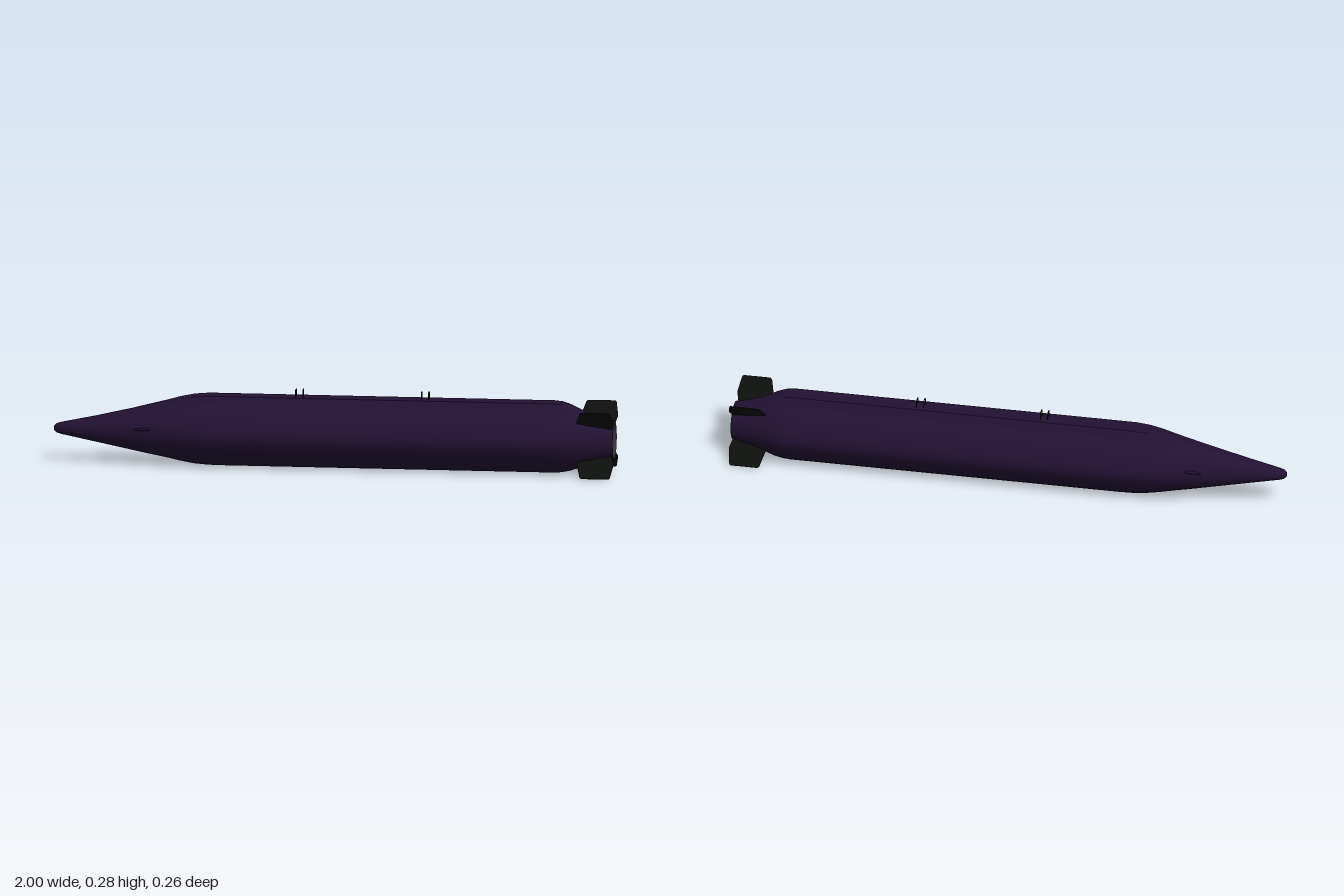
import * as THREE from 'three';
import { toCreasedNormals } from 'three/addons/utils/BufferGeometryUtils.js';

const CY = 0.12; // height of the long axis
const mat = (color, side = THREE.FrontSide) => new THREE.MeshStandardMaterial({ color, side });

// Half cross-section [z, y - CY] from keel to flat spine
const HALF = [[0, -0.12], [0.03, -0.116], [0.055, -0.106], [0.077, -0.09], [0.092, -0.073], [0.106, -0.053],
  [0.119, -0.033], [0.127, -0.015], [0.13, 0], [0.128, 0.017], [0.121, 0.038], [0.11, 0.058], [0.096, 0.076],
  [0.08, 0.09], [0.062, 0.101], [0.052, 0.108], [0.045, 0.12], [0.039, 0.128], [0.034, 0.132], [0, 0.132]];

// Stations: x, half width, height above axis, depth below axis, blend from round to full section
const STATIONS = [[-1, 0, 0, 0, 0], [-0.998, 0.008, 0.008, 0.008, 0], [-0.99, 0.016, 0.016, 0.016, 0],
  [-0.975, 0.021, 0.021, 0.021, 0], [-0.85, 0.046, 0.047, 0.046, 0], [-0.72, 0.073, 0.077, 0.072, 0.1],
  [-0.66, 0.088, 0.092, 0.084, 0.3], [-0.6, 0.103, 0.106, 0.095, 0.55], [-0.55, 0.114, 0.119, 0.106, 0.8],
  [-0.5, 0.123, 0.128, 0.115, 1], [-0.45, 0.129, 0.132, 0.119, 1], [-0.4, 0.13, 0.132, 0.12, 1],
  [0.78, 0.13, 0.132, 0.12, 1], [0.81, 0.127, 0.129, 0.118, 1], [0.84, 0.118, 0.12, 0.112, 0.8],
  [0.87, 0.105, 0.107, 0.102, 0.5], [0.9, 0.093, 0.094, 0.092, 0.2], [0.95, 0.079, 0.079, 0.079, 0],
  [0.995, 0.068, 0.068, 0.068, 0]];

function hullGeometry() {
  const loop = [...HALF, ...HALF.slice(1, -1).reverse().map(([z, y]) => [-z, y])]
    .map(([z, y]) => [z / 0.13, y / (y > 0 ? 0.132 : 0.12)]);
  const n = loop.length, pos = [], idx = [];
  for (const [x, w, up, down, blend] of STATIONS) {
    for (const [z, y] of loop) {
      const k = THREE.MathUtils.lerp(1 / Math.hypot(z, y), 1, blend);
      pos.push(x, CY + y * k * (y > 0 ? up : down), z * k * w);
    }
  }
  for (let j = 0; j < STATIONS.length - 1; j++) {
    for (let i = 0; i < n; i++) {
      const a = j * n + i, d = j * n + (i + 1) % n, b = a + n, c = d + n;
      if (j > 0) idx.push(a, c, d);
      idx.push(a, b, c);
    }
  }
  const geo = new THREE.BufferGeometry();
  geo.setAttribute('position', new THREE.Float32BufferAttribute(pos, 3));
  geo.setIndex(idx);
  return toCreasedNormals(geo, 0.6);
}

// Swept fin with rounded tip corners, drawn in x (along axis) and y (outward)
function finGeometry() {
  const s = new THREE.Shape();
  s.moveTo(0.85, 0.06);
  s.lineTo(0.867, 0.1);
  s.lineTo(0.882, 0.158);
  s.quadraticCurveTo(0.884, 0.167, 0.893, 0.167);
  s.lineTo(0.982, 0.167);
  s.quadraticCurveTo(0.99, 0.167, 0.991, 0.158);
  s.lineTo(1, 0.105);
  s.lineTo(0.99, 0.066);
  s.closePath();
  const geo = new THREE.ExtrudeGeometry(s, { depth: 0.004, bevelEnabled: false, curveSegments: 5 });
  return geo.translate(0, 0, -0.002);
}

// Square wire hoop standing across the spine
function hoopGeometry() {
  const v = (y, z) => new THREE.Vector3(0, y, z);
  const path = new THREE.CurvePath();
  path.add(new THREE.LineCurve3(v(0.248, 0.014), v(0.271, 0.014)));
  path.add(new THREE.QuadraticBezierCurve3(v(0.271, 0.014), v(0.278, 0.014), v(0.278, 0.007)));
  path.add(new THREE.LineCurve3(v(0.278, 0.007), v(0.278, -0.007)));
  path.add(new THREE.QuadraticBezierCurve3(v(0.278, -0.007), v(0.278, -0.014), v(0.271, -0.014)));
  path.add(new THREE.LineCurve3(v(0.271, -0.014), v(0.248, -0.014)));
  return new THREE.TubeGeometry(path, 40, 0.0016, 6);
}

export function createModel() {
  const model = new THREE.Group();
  const purple = mat(0x221133), black = mat(0x0d0f0d);
  const add = (name, geo, material) => {
    const mesh = new THREE.Mesh(geo, material);
    mesh.name = name;
    model.add(mesh);
    return mesh;
  };

  add('hull', hullGeometry(), purple);

  // Slim strakes on the nose sides
  for (const side of [1, -1]) {
    const strake = add('noseStrake', new THREE.SphereGeometry(1, 20, 10), purple);
    strake.scale.set(0.055, 0.005, 0.009);
    strake.position.set(-0.655, CY + 0.018, side * 0.083);
    strake.rotation.y = side * 0.24;
  }

  // Recessed tail bell with a central plug
  const bell = [[0.068, 0.995], [0.065, 0.996], [0.06, 0.975], [0.048, 0.945], [0.03, 0.925],
    [0.028, 0.938], [0.022, 0.938], [0.02, 0.93], [0, 0.93]].map(([r, x]) => new THREE.Vector2(r, x));
  const tail = add('tailBell', toCreasedNormals(new THREE.LatheGeometry(bell, 40), 0.5),
    mat(0x333333, THREE.DoubleSide));
  tail.rotation.z = -Math.PI / 2;
  tail.position.y = CY;

  // Four diagonal tail fins
  const fin = finGeometry();
  for (let i = 0; i < 4; i++) {
    const mesh = add('tailFin', fin, black);
    mesh.position.y = CY;
    mesh.rotation.x = Math.PI / 4 + i * Math.PI / 2;
  }

  // Two pairs of suspension hoops
  const hoop = hoopGeometry();
  for (const x of [-0.125, 0.322]) {
    for (const dx of [-0.013, 0.013]) add('suspensionHoop', hoop, black).position.x = x + dx;
  }
  return model;
}
